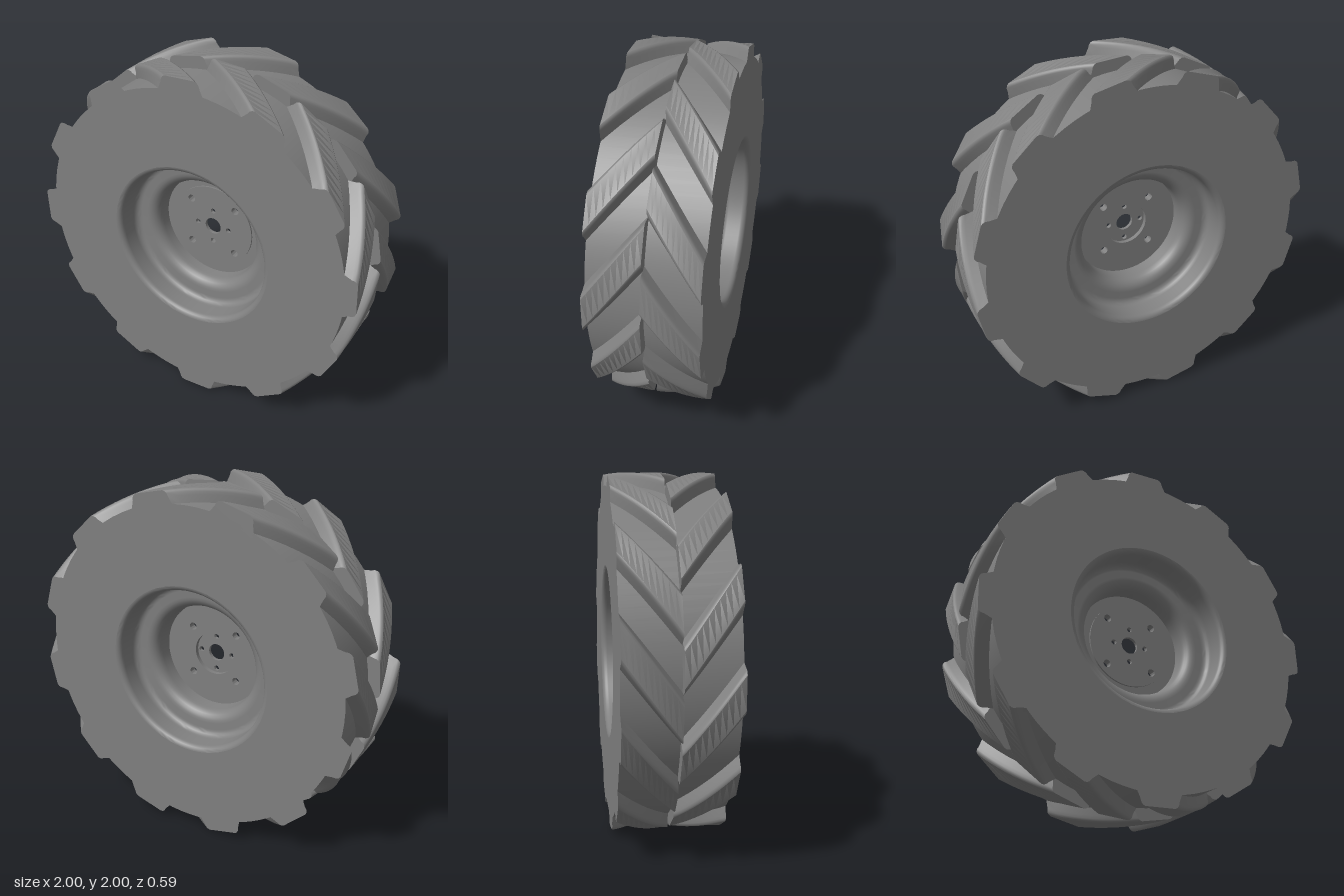
import * as THREE from 'three';
import { toCreasedNormals } from 'three/addons/utils/BufferGeometryUtils.js';

const HALF = 0.295;      // half width of the tyre
const LUGS = 12;         // lugs on each half of the tread
const SWEEP = 23.5;      // degrees a lug leans between shoulder and centre line
const RAD = Math.PI / 180;
const grey = new THREE.MeshStandardMaterial({ color: 0x808080 });

function addMesh(parent, geometry, name) {
  const mesh = new THREE.Mesh(geometry, grey);
  mesh.name = name;
  parent.add(mesh);
  return mesh;
}

// Revolve [radius, z] points about the z axis
function revolve(points) {
  const geo = new THREE.LatheGeometry(points.map(([r, z]) => new THREE.Vector2(r, z)), 96);
  return toCreasedNormals(geo.rotateX(Math.PI / 2), 0.7);
}

// Fillet: points from angle a to b (degrees) about (r, z)
function arc(r, z, radius, a, b, steps = 6) {
  return Array.from({ length: steps + 1 }, (_, i) => {
    const t = (a + (b - a) * i / steps) * RAD;
    return [r + radius * Math.cos(t), z + radius * Math.sin(t)];
  });
}

// Lug: flat-topped, filleted cross-section lofted from the centre line to the shoulder with a twist
function lugGeometry(side, startAngle) {
  const flank = [[8.6, 0.9], [8.1, 0.93], [6.7, 0.968], [6.4, 0.984], [5.8, 0.995], [5, 1]];
  const section = [...flank.map(([a, r]) => [-a, r]), ...flank.toReversed()];
  if (side < 0) section.reverse();
  const n = section.length, rows = 10;
  const pos = [], index = [];
  for (let row = 0; row <= rows; row++) {
    const d = row / rows;
    for (const [a, r] of section) {
      const t = (startAngle + SWEEP * (1 - d) + a) * RAD;
      pos.push(r * Math.cos(t), r * Math.sin(t), side * HALF * d);
    }
    if (row === 0) continue;
    for (let i = 0; i < n; i++) {
      const a0 = (row - 1) * n + i, a1 = (row - 1) * n + (i + 1) % n;
      index.push(a0, a1, a1 + n, a0, a1 + n, a0 + n);
    }
  }
  // End caps
  const last = rows * n;
  for (let i = 1; i < n - 1; i++) {
    index.push(0, i + 1, i, last, last + i, last + i + 1);
  }
  const geo = new THREE.BufferGeometry();
  geo.setAttribute('position', new THREE.Float32BufferAttribute(pos, 3));
  geo.setIndex(index);
  return toCreasedNormals(geo, 0.6);
}

// Flat disc with a bore, four bolt holes and, around a small bore, four pin holes
function drilledDisc(radius, bore, z0, z1) {
  const shape = new THREE.Shape().absarc(0, 0, radius, 0, Math.PI * 2);
  const drill = (x, y, r) => shape.holes.push(new THREE.Path().absarc(x, y, r, 0, Math.PI * 2, true));
  drill(0, 0, bore);
  for (let i = 0; i < 4; i++) {
    const a = i * Math.PI / 2, b = a + Math.PI / 4;
    drill(0.2 * Math.cos(b), 0.2 * Math.sin(b), 0.022);
    if (bore < 0.08) drill(0.1 * Math.cos(a), 0.1 * Math.sin(a), 0.015);
  }
  const geo = new THREE.ExtrudeGeometry(shape, { depth: z1 - z0, bevelEnabled: false, curveSegments: 32 });
  return toCreasedNormals(geo.translate(0, 0, z0), 0.6);
}

export function createModel() {
  const model = new THREE.Group();
  const wheel = new THREE.Group();
  wheel.name = 'wheel';
  wheel.position.y = 1;
  model.add(wheel);

  // Tyre carcass: flat sidewalls, cylindrical tread base
  addMesh(wheel, revolve([
    [0.49, -HALF], [0.93, -HALF], [0.93, HALF], [0.49, HALF],
  ]), 'tyreBody');

  // Stepped rim dish on each side
  const dish = [
    ...arc(0.495, HALF - 0.035, 0.035, 90, 180),
    ...arc(0.42, 0.18, 0.04, 0, -90),
    ...arc(0.38, 0.075, 0.065, 90, 180),
    [0.31, 0],
  ];
  for (const side of [1, -1]) {
    const rim = addMesh(wheel, revolve(dish), side > 0 ? 'rimFront' : 'rimBack');
    if (side < 0) rim.rotation.y = Math.PI;
  }

  // Web with a raised hub flange in front and a round recess behind
  addMesh(wheel, drilledDisc(0.25, 0.05, 0.025, 0.035), 'hubFlange');
  addMesh(wheel, drilledDisc(0.312, 0.05, 0.015, 0.025), 'wheelWeb');
  addMesh(wheel, drilledDisc(0.312, 0.125, -0.01, 0.015), 'webBackRing');

  // Chevron tread: the two halves are staggered by half a pitch
  const tread = new THREE.Group();
  tread.name = 'tread';
  wheel.add(tread);
  const pitch = 360 / LUGS;
  for (const side of [1, -1]) {
    const geo = lugGeometry(side, side > 0 ? 2 : 2 + pitch / 2);
    for (let i = 0; i < LUGS; i++) {
      addMesh(tread, geo, side > 0 ? 'frontLug' : 'backLug').rotation.z = i * pitch * RAD;
    }
  }
  return model;
}
